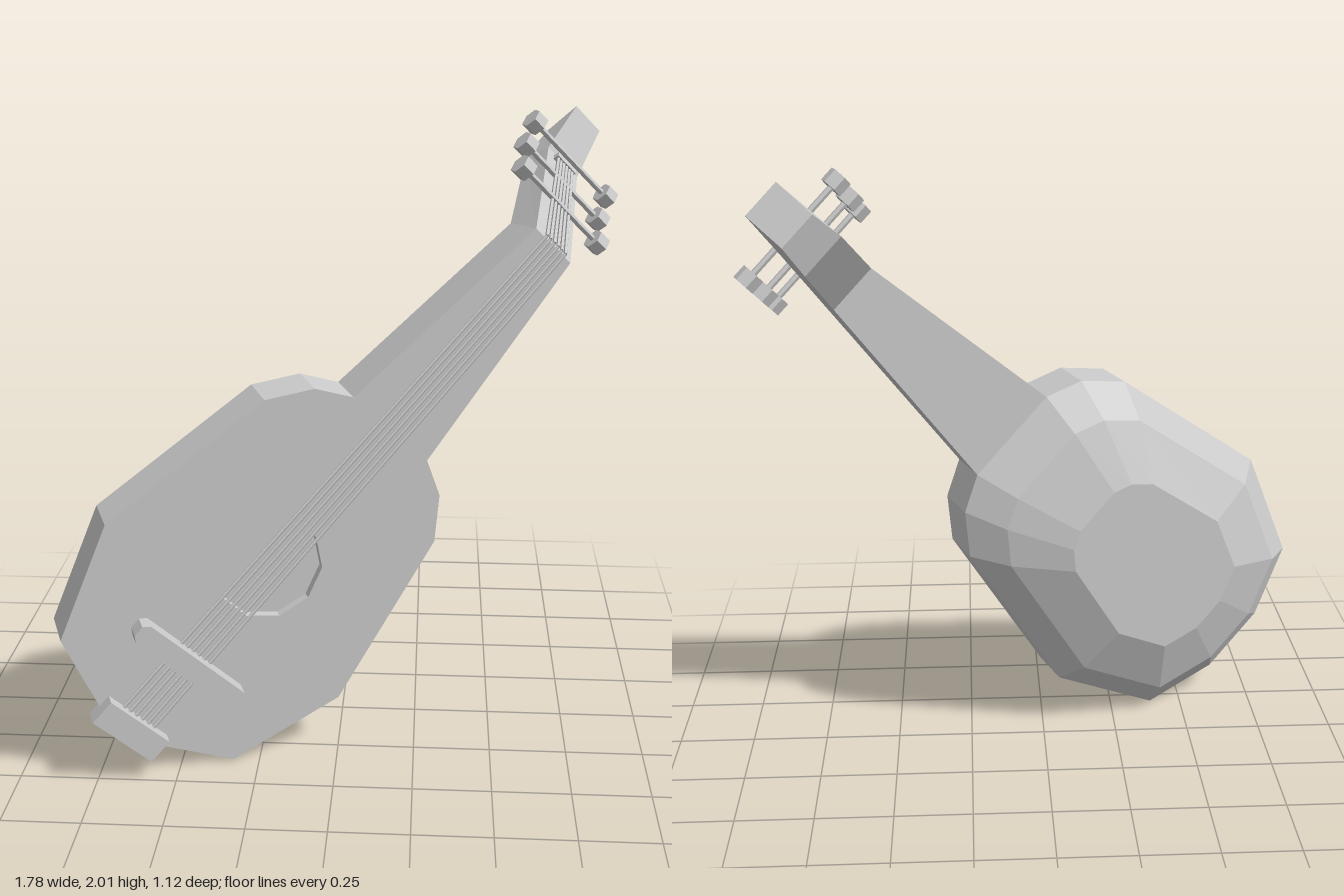
import * as THREE from 'three';

const material = new THREE.MeshStandardMaterial({ color: 0xcccccc, flatShading: true, side: THREE.DoubleSide });

function mesh(name, geometry, parent, x = 0, y = 0, z = 0) {
  const m = new THREE.Mesh(geometry, material);
  m.name = name;
  m.position.set(x, y, z);
  parent.add(m);
  return m;
}

// Faceted skin over matching rings of [x, y, z] points, closed at the last ring
function loft(rings) {
  const out = [];
  const tri = (a, b, c) => out.push(...a, ...b, ...c);
  const n = rings[0].length;
  for (let r = 0; r < rings.length - 1; r++) {
    const a = rings[r], b = rings[r + 1];
    for (let i = 0; i < n; i++) {
      const j = (i + 1) % n;
      tri(a[i], b[i], b[j]);
      tri(a[i], b[j], a[j]);
    }
  }
  const end = rings[rings.length - 1];
  for (let i = 1; i < n - 1; i++) tri(end[0], end[i + 1], end[i]);
  const g = new THREE.BufferGeometry();
  g.setAttribute('position', new THREE.Float32BufferAttribute(out, 3));
  g.computeVertexNormals();
  return g;
}

// Thin round bar between two points
function rod(name, a, b, radius, sides, parent) {
  const dir = new THREE.Vector3().subVectors(b, a);
  const m = mesh(name, new THREE.CylinderGeometry(radius, radius, dir.length(), sides), parent);
  m.position.addVectors(a, b).multiplyScalar(0.5);
  m.quaternion.setFromUnitVectors(new THREE.Vector3(0, 1, 0), dir.normalize());
  return m;
}

export function createModel() {
  const model = new THREE.Group();
  model.name = 'lute';

  // Instrument space: x across, y along the neck, z = 0 on the soundboard
  const lute = new THREE.Group();
  lute.name = 'instrument';
  lute.rotation.set(0, 0.36, -0.764, 'YXZ');
  lute.position.set(-0.388, 0.477, 0.379);
  model.add(lute);

  // Body outline: right half, mirrored to the left
  const half = [[0.125, -0.4], [0.367, -0.3], [0.508, 0.07], [0.386, 0.667], [0.287, 0.792], [0.169, 0.85]];
  const outline = [...half, ...half.map(([x, y]) => [-x, y]).reverse()];

  // Bowl: straight rim, then shrinking rings to a flat back
  const ring = (scale, z, cy = 0.15) => outline.map(([x, y]) => [x * scale, cy + (y - cy) * scale, z]);
  mesh('bowl', loft([ring(1, 0), ring(1, -0.167), ring(0.83, -0.245, 0.1), ring(0.5, -0.318, 0.16)]), lute);

  // Soundboard with a shallow ten-sided sound hole
  const hole = { y: 0.272, r: 0.175, sides: 10, depth: 0.03 };
  const board = new THREE.Shape(outline.map(([x, y]) => new THREE.Vector2(x, y)));
  const rim = [];
  for (let i = 0; i < hole.sides; i++) {
    const a = (i / hole.sides) * Math.PI * 2;
    rim.push(new THREE.Vector2(Math.cos(a) * hole.r, hole.y + Math.sin(a) * hole.r));
  }
  board.holes.push(new THREE.Path(rim));
  mesh('soundboard', new THREE.ShapeGeometry(board), lute);
  const atDepth = (z) => rim.map((p) => [p.x, p.y, z]).reverse();
  mesh('soundHole', loft([atDepth(0), atDepth(-hole.depth)]), lute);

  // Neck and bent-back head: [half width, front y, front z, back y, back z]
  const sections = [
    [0.169, 0.85, 0, 0.85, -0.167],
    [0.084, 1.61, 0, 1.59, -0.165],
    [0.075, 1.88, -0.355, 1.822, -0.443],
    [0.062, 2.057, -0.435, 1.937, -0.482],
  ];
  mesh('neckAndHead', loft(sections.map(([w, fy, fz, by, bz]) =>
    [[-w, by, bz], [w, by, bz], [w, fy, fz], [-w, fy, fz]])), lute);

  // Bridge with chamfered ends
  const bar = new THREE.Shape();
  [[-0.2, -0.035], [0.2, -0.035], [0.22, -0.018], [0.22, 0.018], [0.2, 0.035], [-0.2, 0.035], [-0.22, 0.018], [-0.22, -0.018]]
    .forEach(([x, y], i) => (i ? bar.lineTo(x, y) : bar.moveTo(x, y)));
  mesh('bridge', new THREE.ExtrudeGeometry(bar, { depth: 0.062, bevelEnabled: false }), lute, 0, -0.12, 0);

  // Tailpiece over the lower rim
  mesh('tailpiece', new THREE.BoxGeometry(0.245, 0.086, 0.068), lute, 0, -0.4, 0.012);

  // Six strings, bending over the nut
  for (let i = 0; i < 6; i++) {
    const t = (i / 5) * 2 - 1;
    const tail = new THREE.Vector3(t * 0.063, -0.37, 0.012);
    const nut = new THREE.Vector3(t * 0.045, 1.617, 0.01);
    const tip = new THREE.Vector3(t * 0.035, 1.875, -0.328);
    rod('string', tail, nut, 0.006, 5, lute);
    rod('stringEnd', nut, tip, 0.006, 5, lute);
  }
  const anchor = mesh('stringAnchor', new THREE.BoxGeometry(0.09, 0.02, 0.03), lute, 0, 1.872, -0.335);
  anchor.rotation.x = -0.92;

  // Three peg shafts across the head, a six-sided knob on each end
  for (const [y, z] of [[1.739, -0.147], [1.814, -0.253], [1.897, -0.32]]) {
    rod('pegShaft', new THREE.Vector3(-0.18, y, z), new THREE.Vector3(0.18, y, z), 0.01, 6, lute);
    for (const side of [-1, 1]) {
      const knob = mesh('pegKnob', new THREE.CylinderGeometry(0.036, 0.036, 0.045, 6), lute, side * 0.184, y, z);
      knob.rotation.z = Math.PI / 2;
    }
  }
  return model;
}
